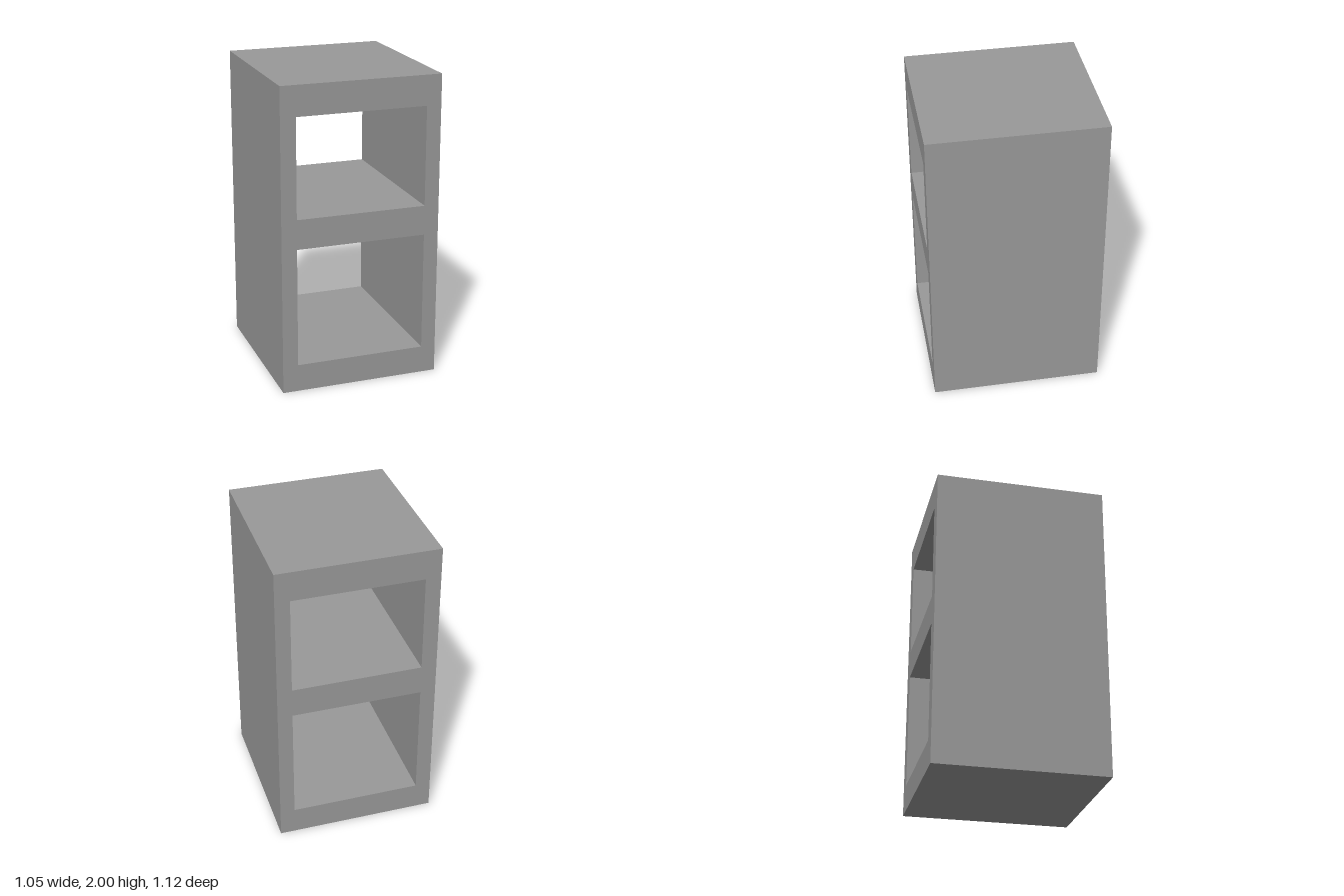
import * as THREE from 'three';

const HALF_W = 0.523, HEIGHT = 2, DEPTH = 1.12;

// Rectangle traced as a closed outline
function rect(path, x0, y0, x1, y1) {
  path.moveTo(x0, y0);
  path.lineTo(x1, y0);
  path.lineTo(x1, y1);
  path.lineTo(x0, y1);
  path.closePath();
  return path;
}

export function createModel() {
  const group = new THREE.Group();
  group.name = 'hollowBlock';
  const concrete = new THREE.MeshStandardMaterial({ color: 0x999999 });
  concrete.name = 'concrete grey';

  // Block outline with two openings running right through
  const outline = rect(new THREE.Shape(), -HALF_W, 0, HALF_W, HEIGHT);
  for (const [bottom, top] of [[0.18, 0.961], [1.155, 1.804]]) {
    outline.holes.push(rect(new THREE.Path(), -0.423, bottom, 0.427, top));
  }

  const geometry = new THREE.ExtrudeGeometry(outline, { depth: DEPTH, bevelEnabled: false });
  geometry.translate(0, 0, -DEPTH / 2);
  const block = new THREE.Mesh(geometry, concrete);
  block.name = 'block';
  group.add(block);
  return group;
}
